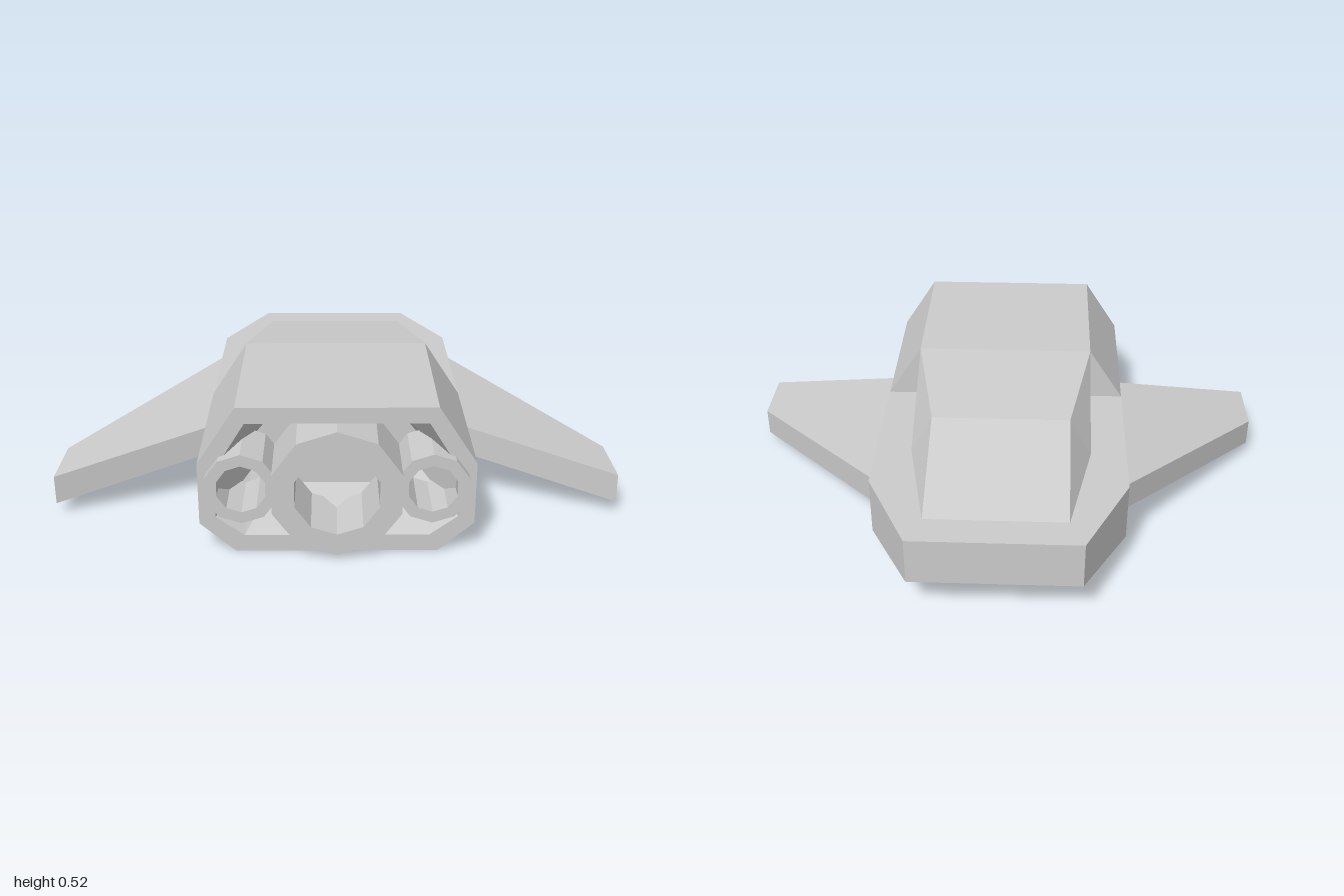
import * as THREE from 'three';

const material = new THREE.MeshStandardMaterial({ color: 0xcccccc, flatShading: true });

function addMesh(parent, name, geometry) {
  const mesh = new THREE.Mesh(geometry, material);
  mesh.name = name;
  parent.add(mesh);
  return mesh;
}

// Skin a run of mirrored cross-sections: [z, [x, y], ...], +x half from top to bottom
function loft(sections) {
  const rings = sections.map(([z, ...half]) => [
    ...half.map(([x, y]) => [x, y, z]),
    ...half.map(([x, y]) => [-x, y, z]).reverse(),
  ]);
  const n = rings[0].length;
  const out = [];
  const tri = (a, b, c) => out.push(...a, ...b, ...c);
  for (let s = 0; s < rings.length - 1; s++) {
    const a = rings[s], b = rings[s + 1];
    for (let i = 0; i < n; i++) {
      const j = (i + 1) % n;
      if (i < n / 2) { // diagonals mirror across x = 0
        tri(a[i], a[j], b[j]);
        tri(a[i], b[j], b[i]);
      } else {
        tri(a[i], a[j], b[i]);
        tri(a[j], b[j], b[i]);
      }
    }
  }
  const last = rings[rings.length - 1];
  for (let i = 1; i < n - 1; i++) {
    tri(rings[0][0], rings[0][i + 1], rings[0][i]);
    tri(last[0], last[i], last[i + 1]);
  }
  const g = new THREE.BufferGeometry();
  g.setAttribute('position', new THREE.Float32BufferAttribute(out, 3));
  g.computeVertexNormals();
  return g;
}

// Ten-sided open tube along z
function tube(outer, inner, z0, z1) {
  const profile = [[inner, z0], [outer, z0], [outer, z1], [inner, z1], [inner, z0]];
  return new THREE.LatheGeometry(profile.map(p => new THREE.Vector2(...p)), 10).rotateX(Math.PI / 2);
}

// Swept plate drooping toward its tip
function wing(side) {
  const outline = [[0.45, -0.4], [1, 0.25], [1, 0.485], [0.45, 0.33]];
  const shape = new THREE.Shape(outline.map(([x, z]) => new THREE.Vector2(side * x, z)));
  const g = new THREE.ExtrudeGeometry(shape, { depth: 0.105, bevelEnabled: false }).rotateX(Math.PI / 2);
  const p = g.attributes.position;
  for (let i = 0; i < p.count; i++) {
    p.setY(i, p.getY(i) + 0.275 - (Math.abs(p.getX(i)) - 0.46) * 0.231);
  }
  g.computeVertexNormals();
  return g;
}

export function createModel() {
  const model = new THREE.Group();
  model.name = 'spacecraft';

  // Main body, starting from the floor of the engine recess and folding over the rim
  const body = [[0.33, 0.525], [0.46, 0.325], [0.46, 0.105], [0.34, 0]];
  addMesh(model, 'mainHull', loft([
    [0.49, [0.22, 0.4], [0.3, 0.3], [0.3, 0.18], [0.22, 0.13]],
    [0.74, [0.3, 0.47], [0.405, 0.3], [0.405, 0.13], [0.31, 0.06]],
    [0.74, ...body],
    [0.47, ...body],
    [0.14, [0.33, 0.525], [0.46, 0.325], [0.46, 0.105], [0.424, 0.07]],
  ]));

  // Flat-decked nose with tapering chin
  addMesh(model, 'noseHull', loft([
    [0.14, [0.46, 0.325], [0.46, 0.105], [0.424, 0.07]],
    [0, [0.46, 0.325], [0.46, 0.105], [0.46, 0.105]],
    [-0.47, [0.46, 0.325], [0.46, 0.105], [0.46, 0.105]],
    [-0.8, [0.3, 0.325], [0.3, 0.15], [0.3, 0.15]],
  ]));

  // Faceted cabin sloping down to the deck
  addMesh(model, 'cabin', loft([
    [0.14, [0.33, 0.525], [0.33, 0.325]],
    [-0.27, [0.25, 0.47], [0.33, 0.325]],
    [-0.68, [0.25, 0.325], [0.25, 0.325]],
  ]));

  // Engines
  addMesh(model, 'mainEngine', tube(0.225, 0.147, 0.56, 0.8)).position.set(0, 0.242, 0);
  for (const [side, label] of [[1, 'left'], [-1, 'right']]) {
    addMesh(model, label + 'Engine', tube(0.125, 0.084, 0.56, 0.775)).position.set(side * 0.315, 0.25, 0);
    addMesh(model, label + 'Wing', wing(side));
  }
  return model;
}
